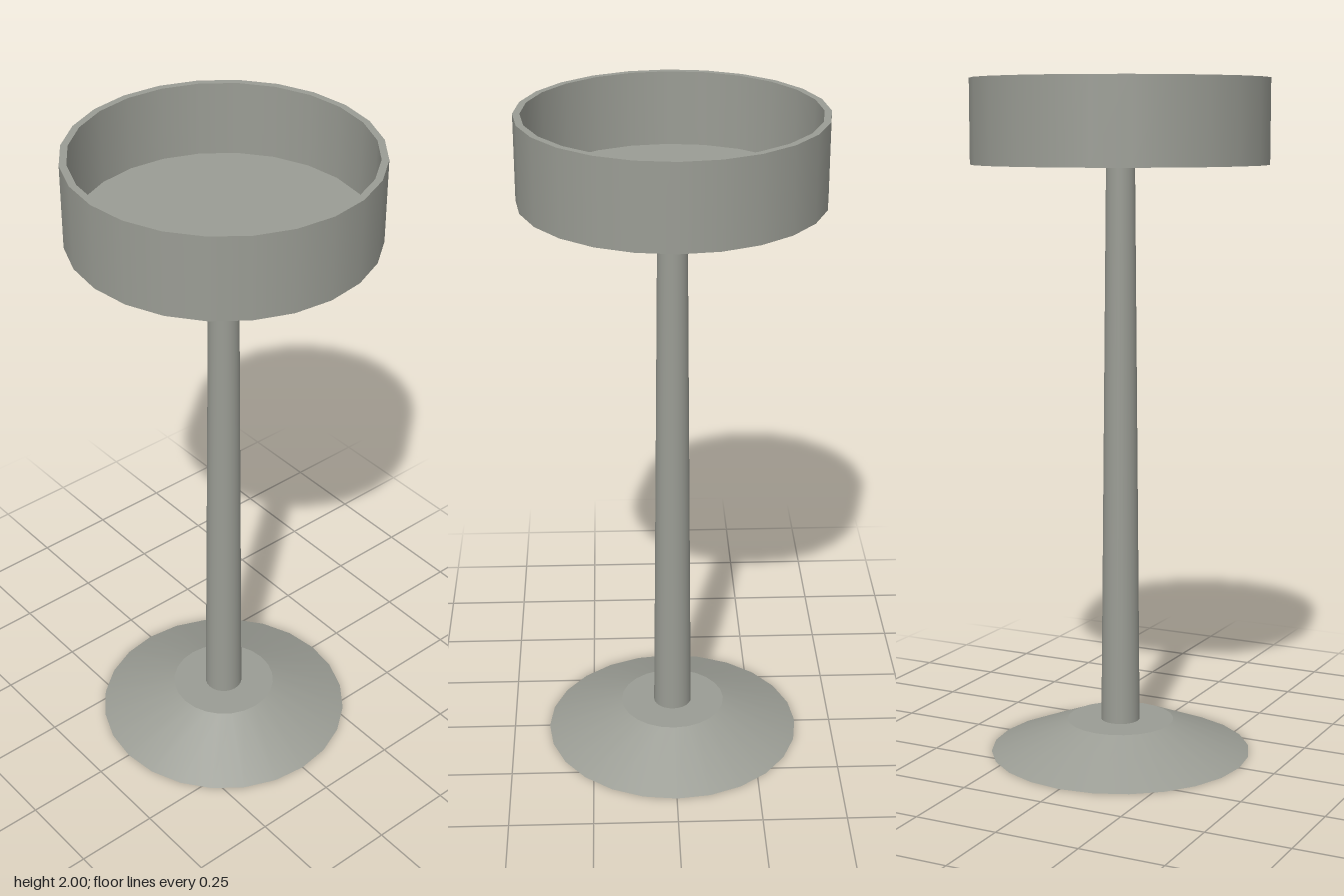
import * as THREE from 'three';

const SIDES = 24;

export function createModel() {
  const model = new THREE.Group();
  model.name = 'pedestalBasin';

  const stone = new THREE.MeshStandardMaterial({ color: 0x9a9c94 });
  stone.name = 'warm grey stone';
  const stoneInside = stone.clone();
  stoneInside.side = THREE.BackSide;

  const add = (name, geometry, y, material = stone, parent = model) => {
    const mesh = new THREE.Mesh(geometry, material);
    mesh.name = name;
    mesh.position.y = y;
    parent.add(mesh);
    return mesh;
  };

  // A tapered drum standing on height y0
  const drum = (name, rTop, rBottom, y0, y1, sides = SIDES) =>
    add(name, new THREE.CylinderGeometry(rTop, rBottom, y1 - y0, sides), (y0 + y1) / 2);

  // Foot and stem
  drum('foot', 0.16, 0.39, 0, 0.095);
  drum('stem', 0.042, 0.058, 0.09, 1.76);

  // Hollow basin: outer wall, inner wall, rim, floor and underside
  const basin = new THREE.Group();
  basin.name = 'basin';
  model.add(basin);
  const outer = 0.433, inner = 0.413, bottom = 1.755, floor = 1.782, top = 2;

  const wall = (name, r, y0, material) =>
    add(name, new THREE.CylinderGeometry(r, r, top - y0, SIDES, 1, true), (top + y0) / 2, material, basin);
  wall('outerWall', outer, bottom, stone);
  wall('innerWall', inner, floor, stoneInside);

  const flat = (geometry, up) => geometry.rotateX(up ? -Math.PI / 2 : Math.PI / 2);
  add('rim', flat(new THREE.RingGeometry(inner, outer, SIDES), true), top, stone, basin);
  add('basinFloor', flat(new THREE.CircleGeometry(inner, SIDES), true), floor, stone, basin);
  add('underside', flat(new THREE.CircleGeometry(outer, SIDES), false), bottom, stone, basin);

  return model;
}
